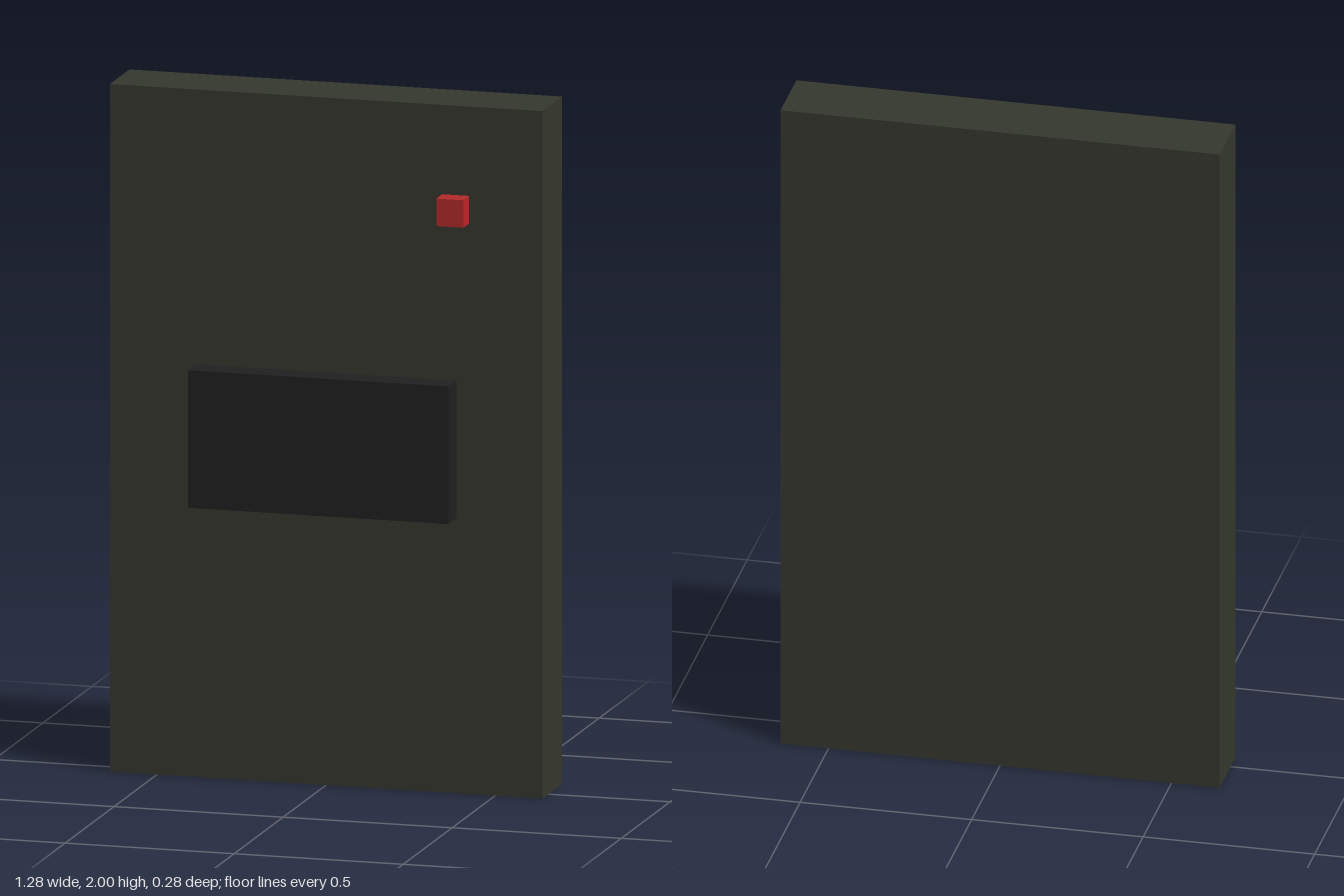
import * as THREE from 'three';

// Box given by its size and centre
function box(name, color, [w, h, d], [x, y, z]) {
  const mesh = new THREE.Mesh(
    new THREE.BoxGeometry(w, h, d),
    new THREE.MeshStandardMaterial({ color })
  );
  mesh.name = name;
  mesh.position.set(x, y, z);
  return mesh;
}

export function createModel() {
  const model = new THREE.Group();
  model.name = 'wallPanel';

  model.add(
    // Upright slab
    box('panel', 0x35382d, [1.28, 2, 0.2], [0, 1, -0.04]),
    // Dark raised plate on the front
    box('frontPlate', 0x202020, [0.77, 0.4, 0.08], [0, 1, 0.1]),
    // Small red indicator near the upper left corner
    box('indicator', 0xb52a2a, [0.08, 0.08, 0.06], [0.383, 1.7, 0.09])
  );
  return model;
}
